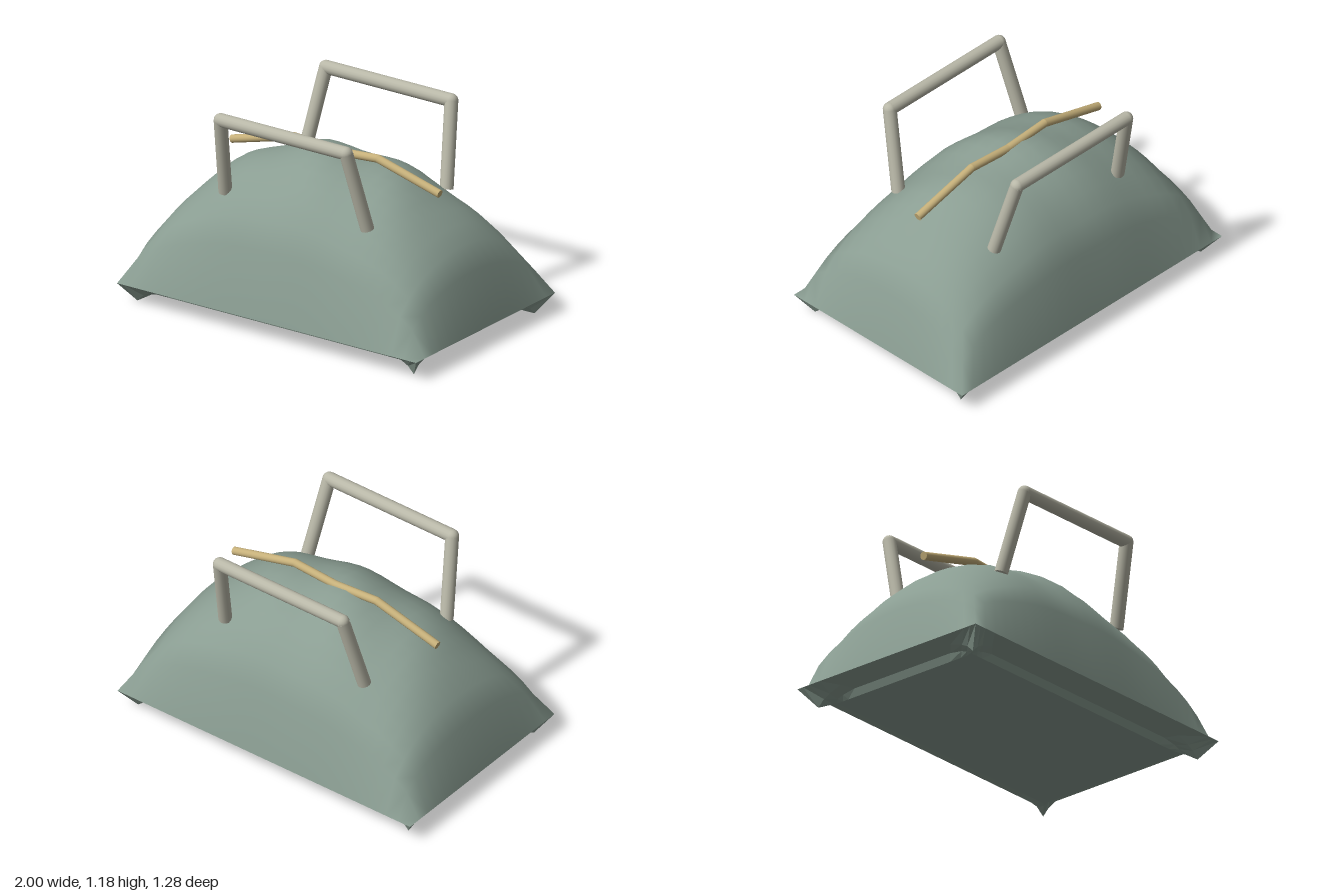
import * as THREE from 'three';

const HX = 1, HZ = 0.64; // half size of the rim

export function createModel() {
  const cloth = new THREE.MeshStandardMaterial({ color: 0x8a9d92, side: THREE.DoubleSide });
  cloth.name = 'sage cloth';
  const grip = new THREE.MeshStandardMaterial({ color: 0xb9b8a8 });
  grip.name = 'pale grey handle';
  const wood = new THREE.MeshStandardMaterial({ color: 0xc6b07a });
  wood.name = 'tan rod';

  const model = new THREE.Group();
  model.name = 'bag';
  const add = (name, geometry, material, parent = model) => {
    const mesh = new THREE.Mesh(geometry, material);
    mesh.name = name;
    parent.add(mesh);
    return mesh;
  };

  // Domed body: a grid raised by a rounded profile, with soft diagonal wrinkles
  const dome = new THREE.PlaneGeometry(2 * HX, 2 * HZ, 24, 16).rotateX(-Math.PI / 2);
  const p = dome.attributes.position;
  for (let i = 0; i < p.count; i++) {
    const x = p.getX(i), z = p.getZ(i);
    const u = Math.max(0, 1 - (x / HX) ** 2), v = Math.max(0, 1 - (z / HZ) ** 2);
    const wrinkle = 0.018 * Math.cos(12 * (x + 0.1) - 6 * z) * u * v;
    p.setY(i, 0.11 + 0.8 * (u * v) ** 0.52 + wrinkle);
  }
  dome.computeVertexNormals();
  add('body', dome, cloth);

  // Underside: rectangular rings from the rim in to the base, with drooping corners
  const ring = (hx, hz, height) => {
    const corners = [[hx, hz], [hx, -hz], [-hx, -hz], [-hx, hz]];
    const points = [];
    corners.forEach(([x0, z0], k) => {
      const [x1, z1] = corners[(k + 1) % 4];
      const length = Math.hypot(x1 - x0, z1 - z0);
      for (const d of [0, 0.04, 0.08, 0.16, length / 2, length - 0.16, length - 0.08, length - 0.04]) {
        const t = d / length;
        points.push([x0 + (x1 - x0) * t, height(Math.min(d, length - d)), z0 + (z1 - z0) * t]);
      }
    });
    return points;
  };
  const rings = [
    ring(HX, HZ, () => 0.11),
    ring(0.925, 0.555, (d) => 0.088 * Math.min(1, d / 0.15) ** 0.6),
    ring(0.87, 0.505, (d) => 0.03 + 0.04 * Math.min(1, d / 0.12)),
    ring(0.85, 0.485, () => 0.03),
  ];
  const vertices = [];
  for (let r = 0; r < rings.length - 1; r++) {
    const upper = rings[r], lower = rings[r + 1], n = upper.length;
    for (let i = 0; i < n; i++) {
      const j = (i + 1) % n;
      vertices.push(...lower[i], ...lower[j], ...upper[j], ...lower[i], ...upper[j], ...upper[i]);
    }
  }
  const skirt = new THREE.BufferGeometry();
  skirt.setAttribute('position', new THREE.Float32BufferAttribute(vertices, 3));
  skirt.computeVertexNormals();
  add('underside rim', skirt, cloth);
  add('base', new THREE.PlaneGeometry(1.7, 0.97).rotateX(Math.PI / 2).translate(0, 0.03, 0), cloth);

  // Round bar through a list of points, with rounded joints
  const bar = (name, points, radius, material) => {
    const group = new THREE.Group();
    group.name = name;
    const path = points.map((q) => new THREE.Vector3(...q));
    for (let i = 0; i < path.length - 1; i++) {
      const direction = path[i + 1].clone().sub(path[i]);
      const piece = add(name + ' segment', new THREE.CylinderGeometry(radius, radius, direction.length(), 16), material, group);
      piece.position.copy(path[i]).add(path[i + 1]).multiplyScalar(0.5);
      piece.quaternion.setFromUnitVectors(new THREE.Vector3(0, 1, 0), direction.normalize());
      if (i > 0) {
        add(name + ' joint', new THREE.SphereGeometry(radius, 16, 10), material, group).position.copy(path[i]);
      }
    }
    model.add(group);
  };

  // Two handles leaning outwards
  for (const [name, s] of [['front handle', 1], ['back handle', -1]]) {
    bar(name, [
      [-0.475, 0.68, 0.365 * s], [-0.42, 1.145, 0.485 * s],
      [0.42, 1.145, 0.485 * s], [0.475, 0.68, 0.365 * s],
    ], 0.038, grip);
  }

  // Bent rod along the top
  bar('top rod', [
    [-0.695, 0.818, 0], [-0.28, 0.928, 0], [0, 0.908, 0], [0.28, 0.928, 0], [0.695, 0.818, 0],
  ], 0.023, wood);

  return model;
}
